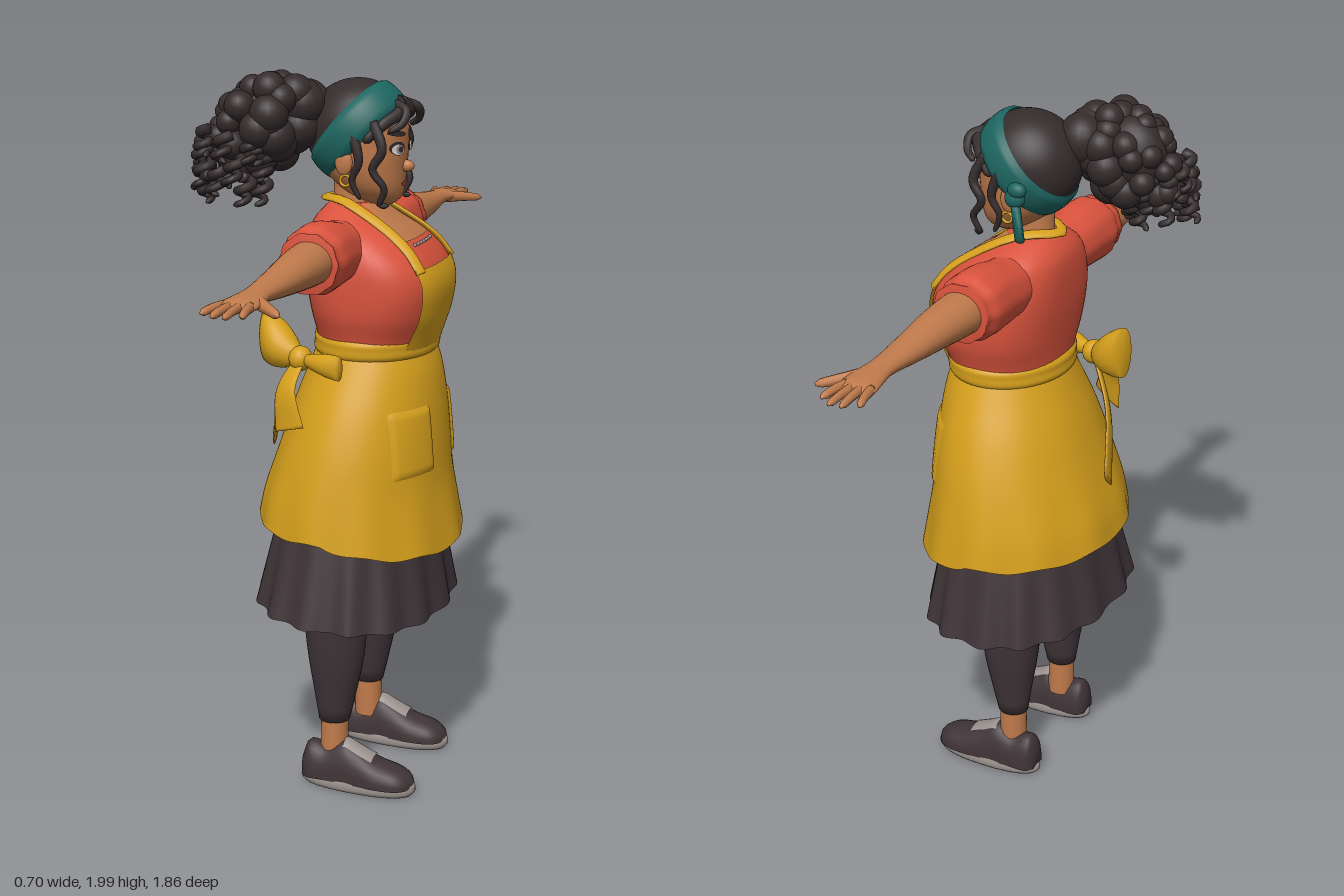
import * as THREE from 'three';

const mat = (name, color) => new THREE.MeshStandardMaterial({ name, color, side: THREE.DoubleSide });
const M = {
  skin: mat('skin', 0xbf7a4b), hair: mat('hair', 0x342b2c), skirt: mat('charcoal', 0x3f3437),
  apron: mat('mustard', 0xd6a01c), blouse: mat('coral', 0xd9533d), scarf: mat('teal', 0x1d6560),
  sole: mat('sole grey', 0x9a918c), white: mat('eye white', 0xe6e2dc), lips: mat('lips', 0x9c4a38),
};
const { sin, cos, PI, abs, sign, sqrt, max } = Math;

// Cross-section tables: first column is the position, the rest are smoothly interpolated
function at(rows, k) {
  let i = 0;
  while (i < rows.length - 2 && k > rows[i + 1][0]) i++;
  const a = rows[i], b = rows[i + 1], o = rows[i - 1] || a, q = rows[i + 2] || b;
  const d = b[0] - a[0], t = THREE.MathUtils.clamp((k - a[0]) / d, 0, 1), t2 = t * t, t3 = t2 * t;
  return a.map((v, c) => v * (2 * t3 - 3 * t2 + 1) + b[c] * (3 * t2 - 2 * t3)
    + (t3 - 2 * t2 + t) * d * (b[c] - o[c]) / (b[0] - o[0]) + (t3 - t2) * d * (q[c] - v) / (q[0] - a[0]));
}

// Surface through a grid of points f(u, v); wrap closes it around v, caps close its ends
function surface(nu, nv, f, wrap = false, caps = false) {
  const pos = [], idx = [], w = wrap ? nv : nv + 1;
  for (let i = 0; i <= nu; i++) for (let j = 0; j < w; j++) pos.push(...f(i / nu, j / nv));
  for (let i = 0; i < nu; i++) for (let j = 0; j < nv; j++) {
    const a = i * w + j, b = i * w + (j + 1) % w;
    idx.push(a, a + w, b, b, a + w, b + w);
  }
  if (caps) for (const i of [0, nu]) {
    const c = [0, 0, 0], n = pos.length / 3;
    for (let j = 0; j < w; j++) for (let k = 0; k < 3; k++) c[k] += pos[(i * w + j) * 3 + k] / w;
    pos.push(...c);
    for (let j = 0; j < w; j++) {
      const a = i * w + j, b = i * w + (j + 1) % w;
      idx.push(...(i ? [n, b, a] : [n, a, b]));
    }
  }
  const g = new THREE.BufferGeometry();
  g.setAttribute('position', new THREE.Float32BufferAttribute(pos, 3));
  g.setIndex(idx);
  g.computeVertexNormals();
  return g;
}
const sup = (v, p) => sign(v) * abs(v) ** (2 / p);
// Horizontal body ring from a row [y, back, front, half width, squareness]
const ring = ([y, xb, xf, hz, p = 2], a, s = 1) =>
  [(xb + xf) / 2 + s * (xf - xb) / 2 * sup(cos(a), p), y, s * hz * sup(sin(a), p)];
const frontX = (rows, y, z) => {
  const [, xb, xf, hz, p = 2] = at(rows, y);
  return (xb + xf) / 2 + (xf - xb) / 2 * max(0, 1 - abs(z / hz) ** p) ** (1 / p);
};
const lerp = THREE.MathUtils.lerp;
const span = (rows, u) => at(rows, lerp(rows[0][0], rows[rows.length - 1][0], u));
const bodyLoft = (rows, n = 24, caps = true) =>
  surface(n, 48, (u, v) => ring(span(rows, u), v * 2 * PI), true, caps);

const TORSO = [[1.24, -.04, .262, .182, 2], [1.3, -.045, .28, .195, 2.2], [1.36, -.052, .295, .213, 2.5], [1.44, -.06, .3, .217, 2.8],
  [1.5, -.062, .275, .212, 2.8], [1.56, -.06, .215, .19, 2.5], [1.6, -.05, .155, .15, 2.2], [1.64, -.015, .105, .07, 2]];
const APRON = [[.72, -.205, .347, .343], [.8, -.19, .332, .332], [.9, -.16, .315, .314], [1, -.13, .308, .29],
  [1.1, -.1, .3, .257], [1.2, -.065, .286, .214], [1.26, -.045, .268, .187]];
const HEAD = [[1.633, .09, .15, .02, 2.1], [1.65, .05, .173, .052, 2.1], [1.68, .01, .182, .082, 2.2], [1.73, -.04, .186, .104, 2.2],
  [1.79, -.065, .19, .112, 2.2], [1.85, -.06, .187, .112, 2.2], [1.91, -.03, .155, .09, 2.1], [1.945, .03, .085, .03, 2]];

export function createModel() {
  const root = new THREE.Group();
  const add = (name, geo, m, p = [0, 0, 0], s = [1, 1, 1]) => {
    const mesh = new THREE.Mesh(geo, m);
    mesh.name = name;
    mesh.position.set(...p);
    mesh.scale.set(...s);
    root.add(mesh);
  };
  const curve = (pts) => new THREE.CatmullRomCurve3(pts.map((p) => new THREE.Vector3(...p)));
  const ball = (name, m, p, s) => add(name, new THREE.SphereGeometry(1, 20, 14), m, p, s);
  // Tube that tapers towards its tip
  const lock = (name, m, pts, r0, r1, n = 20) => {
    const c = curve(pts), fr = c.computeFrenetFrames(n);
    add(name, surface(n, 10, (u, v) => {
      const i = Math.round(u * n), r = lerp(r0, r1, u) * (u === 1 ? .4 : 1);
      return c.getPointAt(u).addScaledVector(fr.normals[i], r * cos(v * 2 * PI))
        .addScaledVector(fr.binormals[i], r * sin(v * 2 * PI)).toArray();
    }, true, true), m);
  };
  // Cloth strip along a path, its face turned along w
  const strip = (name, m, pts, width, w) => {
    const c = curve(pts);
    add(name, surface(24, 12, (u, v) => {
      const a = v * 2 * PI, h = width(u) / 2, p = c.getPoint(u), t = c.getTangent(u);
      const side = w(p).cross(t).normalize(), out = t.clone().cross(side);
      return p.addScaledVector(side, h * cos(a)).addScaledVector(out, .007 * sin(a)).toArray();
    }, true, true), m);
  };

  // Torso, neck and neckline
  add('blouse', bodyLoft(TORSO), M.blouse);
  add('neck', bodyLoft([[1.56, -.02, .12, .07], [1.63, -.012, .105, .052], [1.72, -.01, .11, .05]], 10), M.skin);
  add('upperChest', surface(10, 20, (u, v) => {
    const y = lerp(1.552, 1.638, u), z = lerp(-1, 1, v) * lerp(.095, .06, u);
    return [frontX(TORSO, y, z) + .004, y, z];
  }), M.skin);
  for (let i = -3; i <= 3; i++) ball('necklineBead', M.sole, [frontX(TORSO, 1.54, i * .022) + .002, 1.54, i * .022], [.005, .005, .006]);

  // Apron skirt with dipping hem, waistband, bib and neck strap
  add('apronSkirt', surface(30, 96, (u, v) => {
    const a = v * 2 * PI, k = max(0, 1 - u * 2.5), hem = .77 - .062 * max(0, cos(a)) ** .8 + .005 * cos(11 * a);
    const p = ring(at(APRON, lerp(.72, 1.26, u)), a, 1 + .012 * k * cos(11 * a));
    p[1] = lerp(hem, 1.26, u);
    return p;
  }, true), M.apron);
  add('waistband', bodyLoft([[1.24, -.048, .27, .19], [1.252, -.055, .279, .199], [1.272, -.053, .28, .2],
    [1.288, -.053, .281, .2], [1.3, -.044, .272, .19]], 12, false), M.apron);
  add('bib', surface(16, 24, (u, v) => {
    const y = lerp(1.26, 1.49, u), z = lerp(-1, 1, v) * lerp(.135, .152, u);
    return [frontX(TORSO, y, z) + .009, y, z];
  }), M.apron);
  const half = [[1.48, .138], [1.53, .127], [1.58, .11]].map(([y, z]) => [frontX(TORSO, y, z) + .01, y, z]);
  half.push([.05, 1.646, .082]);
  const flip = half.map(([x, y, z]) => [x, y, -z]).reverse();
  strip('neckStrap', M.apron, [...half, [-.035, 1.645, 0], ...flip], () => .032,
    (p) => new THREE.Vector3(p.x - .05, p.y - 1.45, p.z));
  for (const s of [1, -1]) add('pocket', surface(14, 14, (u, v) => {
    const y = lerp(.93, 1.12, u), z = s * lerp(.085, lerp(.235, .215, u), v), e = u * (1 - u) * v * (1 - v);
    return [frontX(APRON, y, z) + (e > 0 ? .007 : -.004), y, z];
  }), M.apron);

  // Bow tied beside the back, with two loops and two tails
  const KNOT = [-.045, 1.235, .175];
  ball('bowKnot', M.apron, KNOT, [.032, .034, .034]);
  const bowLoop = (tip, h, depth) => add('bowLoop', surface(12, 20, (u, v) => {
    const a = v * 2 * PI, r = lerp(.25, 1, sin(u * PI * .5));
    const p = KNOT.map((c, i) => lerp(c, tip[i], u)), d = depth * sin(u * PI * .75 + .2) * cos(a);
    return [p[0] - .4 * d, p[1] + h * r * sin(a), p[2] + .9 * d];
  }, true, true), M.apron);
  bowLoop([-.165, 1.278, .12], .075, .05);
  bowLoop([.085, 1.232, .235], .034, .026);
  strip('bowTail', M.apron, [KNOT, [-.065, 1.16, .235], [-.045, 1.06, .262]], (u) => lerp(.04, .115, u),
    () => new THREE.Vector3(-.45, .1, .85));
  strip('bowTail', M.apron, [KNOT, [-.135, 1.11, .09], [-.2, .965, -.03]], (u) => lerp(.04, .105, u),
    () => new THREE.Vector3(-.85, .2, .4));

  // Pleated skirt
  add('skirt', surface(16, 128, (u, v) => {
    const a = v * 2 * PI, t = 1 - u;
    const p = ring([0, lerp(-.1, -.2, t), lerp(.24, .318, t), lerp(.24, .348, t), 2.25], a, 1 + .03 * t * cos(15 * a));
    p[1] = lerp(.53 - .015 * cos(a), .98, u);
    return p;
  }, true), M.skirt);

  // Legs and shoes
  const LEG = [[.195, .045, .044, .042], [.28, .048, .06, .056], [.38, .05, .078, .073], [.5, .05, .09, .082], [.95, .06, .12, .11]];
  const SHOE = [[-.04, .028, .085], [-.025, .046, .122], [.03, .05, .117], [.085, .052, .138], [.12, .055, .122],
    [.18, .061, .092], [.24, .056, .075], [.27, .038, .058], [.283, .012, .042]];
  for (const s of [1, -1]) {
    const z0 = s * .147 + .011, zf = z0 + s * .012;
    add('legging', surface(20, 28, (u, v) => {
      const [y, cx, rx, rz] = span(LEG, u);
      return [cx + rx * cos(v * 2 * PI), y, z0 + rz * sin(v * 2 * PI)];
    }, true, true), M.skirt);
    add('ankle', new THREE.CylinderGeometry(.038, .04, .13, 20), M.skin, [.045, .15, z0]);
    add('shoe', surface(32, 28, (u, v) => {
      const [x, w, top] = span(SHOE, u), a = v * 2 * PI;
      return [x, .025 + max(0, sin(a)) ** .8 * (top - .025), zf + w * cos(a)];
    }, true, true), M.skirt);
    add('shoeSole', surface(4, 48, (u, v) => {
      const a = v * 2 * PI, x = .121 + .167 * sup(cos(a), 2.3), w = [.94, 1, 1, .98, .9][Math.round(u * 4)];
      return [.121 + (x - .121) * w, u * (.036 + .04 * max(0, x - .1)), zf + (.053 + .03 * max(0, x - .02)) * w * sup(sin(a), 2.3)];
    }, true, true), M.sole);
    add('shoeTongue', surface(10, 8, (u, v) => {
      const x = lerp(.083, .17, u), [, w, top] = at(SHOE, x), c = lerp(-.55, .55, v);
      return [x, .03 + (1 - c * c) ** .4 * (top - .025), zf + w * c];
    }), M.sole);
  }

  // Arms, puffed sleeves and hands
  const ARM = [[.28, .05, 1.536, .062, .058], [.38, .053, 1.536, .063, .056], [.48, .055, 1.535, .056, .048],
    [.6, .055, 1.531, .045, .034], [.72, .055, 1.53, .035, .021], [.78, .055, 1.528, .045, .018], [.83, .05, 1.526, .05, .015], [.85, .05, 1.525, .042, .01]];
  const SLEEVE = [[.08, .05, 1.525, .075, .078], [.17, .05, 1.53, .083, .08], [.25, .05, 1.535, .086, .09],
    [.32, .05, 1.535, .087, .09], [.352, .051, 1.535, .077, .076], [.37, .052, 1.535, .079, .079]];
  for (const s of [1, -1]) {
    const limb = (rows, pleat) => surface(30, 40, (u, v) => {
      const [z, cx, cy, rx, ry] = span(rows, u), a = v * 2 * PI, k = 1 + pleat * u * cos(10 * a);
      return [cx + rx * k * cos(a), cy + ry * k * sin(a), s * z];
    }, true, true);
    add('sleeve', limb(SLEEVE, .025), M.blouse);
    add('arm', limb(ARM, 0), M.skin);
    [[.015, -.006, .905], [.037, .03, .928], [.06, .062, .932], [.083, .097, .91]].forEach(([x0, x1, z]) =>
      lock('finger', M.skin, [[x0, 1.526, s * .825], [(x0 + x1) / 2, 1.527, s * .87], [x1, 1.522, s * z]], .0125, .009, 8));
    lock('thumb', M.skin, [[.075, 1.526, s * .765], [.115, 1.522, s * .805], [.16, 1.515, s * .845]], .018, .01, 8);
  }

  // Head and face
  add('head', bodyLoft(HEAD, 36), M.skin);
  const decal = (name, m, y, z, ry, rz, off, tilt = 0) => {
    const g = new THREE.CircleGeometry(1, 24), p = g.attributes.position;
    for (let i = 0; i < p.count; i++) {
      const pz = z - p.getX(i) * rz, py = y + p.getY(i) * ry + (pz - z) * tilt;
      p.setXYZ(i, frontX(HEAD, py, pz) + off, py, pz);
    }
    g.computeVertexNormals();
    add(name, g, m);
  };
  ball('nose', M.skin, [.19, 1.737, 0], [.022, .016, .016]);
  decal('mouth', M.lips, 1.692, 0, .008, .026, .004);
  for (const s of [1, -1]) {
    decal('lashes', M.hair, 1.788, s * .048, .018, .027, .003, s * .1);
    decal('eye', M.white, 1.785, s * .048, .014, .022, .005, s * .1);
    decal('iris', M.sole, 1.786, s * .047, .013, .0125, .007);
    decal('pupil', M.hair, 1.786, s * .047, .008, .008, .009);
    decal('eyebrow', M.hair, 1.827, s * .052, .007, .03, .005, s * .12);
    ball('ear', M.skin, [.055, 1.755, s * .114], [.024, .035, .012]);
    add('earring', new THREE.TorusGeometry(.014, .004, 8, 18), M.apron, [.06, 1.708, s * .116]);
  }

  // Hair cap, open around the face
  const HAIRLINE = [[1.7, 2], [1.76, 1.8], [1.81, 1.45], [1.85, 1.05], [1.88, .55], [1.9, .05], [1.962, 0]];
  add('hairCap', surface(32, 48, (u, v) => {
    const y = 1.825 + .137 * sin(lerp(-1.15, PI / 2, u)), r = sqrt(max(0, 1 - ((y - 1.825) / .137) ** 2));
    const a0 = max(0, at(HAIRLINE, y)[1]), a = lerp(a0, 2 * PI - a0, v);
    return [.057 + .143 * r * cos(a), y, .127 * r * sin(a)];
  }), M.hair);
  for (const s of [1, -1]) {
    lock('fringe', M.hair, [[.165, 1.905, s * .005], [.184, 1.882, s * .04], [.155, 1.855, s * .085], [.11, 1.81, s * .116]], .02, .012);
    lock('fringeCurl', M.hair, [[.17, 1.9, s * .03], [.205, 1.885, s * .05], [.2, 1.855, s * .075], [.17, 1.835, s * .095]], .015, .008);
    lock('sideCurl', M.hair, [[.13, 1.86, s * .1], [.16, 1.79, s * .116], [.135, 1.74, s * .118], [.165, 1.69, s * .11], [.15, 1.645, s * .1], [.172, 1.645, s * .09]], .015, .007, 30);
    lock('sideCurl', M.hair, [[.08, 1.83, s * .118], [.1, 1.76, s * .126], [.08, 1.71, s * .12], [.1, 1.66, s * .114]], .015, .006, 24);
  }

  // Headscarf band with a knot on one side
  add('headscarf', surface(8, 56, (u, v) => {
    const w = lerp(-.046, .046, u), a = v * 2 * PI, e = u === 0 || u === 1 ? -.002 : .007;
    const r = sqrt(1 - (w / .14) ** 2), d = (.142 + e) * r * cos(a);
    return [.057 + .67 * d + .74 * w, 1.826 + .74 * d - .67 * w, (.128 + e) * r * sin(a)];
  }, true), M.scarf);
  ball('scarfKnot', M.scarf, [.02, 1.775, -.145], [.028, .026, .022]);
  ball('scarfLoop', M.scarf, [.01, 1.8, -.152], [.026, .02, .018]);
  add('scarfTail', surface(10, 12, (u, v) => {
    const a = v * 2 * PI, w = .008 + .03 * sin(u * 2.5);
    return [.02 - .02 * u + .6 * w * cos(a) - .01 * sin(a), 1.77 - .1 * u, -.145 - .012 * u + .8 * w * cos(a) + .008 * sin(a)];
  }, true, true), M.scarf);

  // Ponytail: clustered curls, large near the head and small at the ends
  let seed = 11;
  const rnd = () => (seed = (seed * 16807) % 2147483647) / 2147483647;
  ball('ponytailCore', M.hair, [-.18, 1.85, .11], [.1, .105, .075]);
  ball('ponytailBase', M.hair, [-.07, 1.89, .05], [.065, .07, .065]);
  for (let i = 0; i < 46; i++) {
    const y = 1 - 2 * (i + rnd()) / 46, a = i * 2.4 + rnd(), r = sqrt(max(0, 1 - y * y));
    const x = -.18 + .11 * r * cos(a), far = THREE.MathUtils.clamp((-.07 - x) / .22, 0, 1);
    const size = lerp(.056, .03, far) * lerp(.8, 1.1, rnd()), k = lerp(.9, 1.04, rnd());
    ball('curl', M.hair, [x + .035 * y, 1.835 + .11 * k * y + .02 * (1 - far), .118 + .08 * k * r * sin(a) + .035 * (far - .5)], [size, size, size]);
  }
  for (let i = 0; i < 24; i++) {
    const a = i * 2.4, x = -.23 + .085 * cos(a), y = 1.78 + .06 * sin(i * 1.7) - .12 * max(0, x + .23), z = .155 + .06 * sin(a), pts = [];
    for (let k = 0; k <= 8; k++) pts.push([x - .002 * k + .018 * cos(k * 1.5 + i), y - .009 * k, z + .002 * k + .018 * sin(k * 1.5 + i)]);
    lock('hangingCurl', M.hair, pts, .015, .008, 24);
  }
  return root;
}
